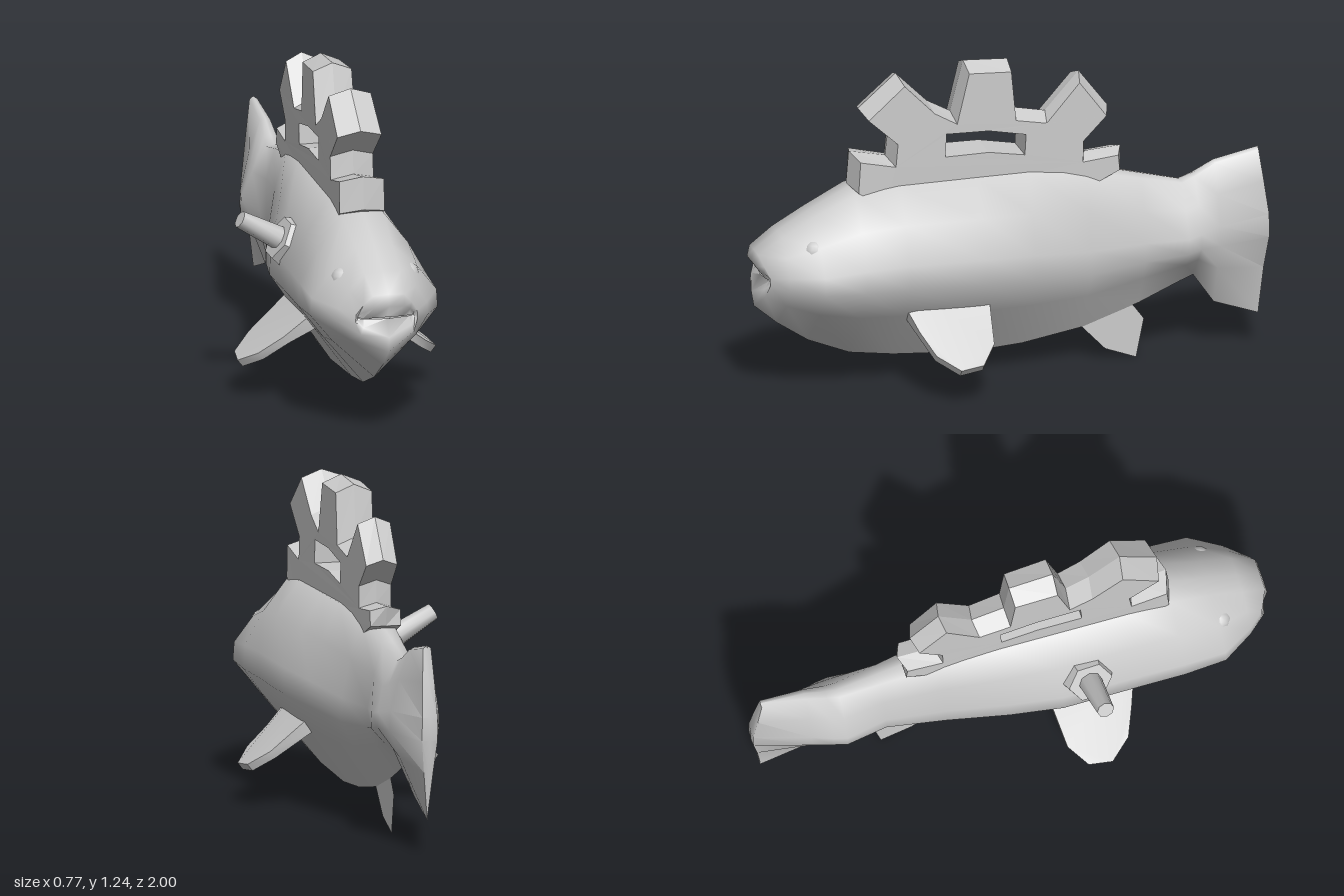
import * as THREE from 'three';
import { toCreasedNormals } from 'three/addons/utils/BufferGeometryUtils.js';

const CX = 0.013; // centre plane of the body
const mat = new THREE.MeshStandardMaterial({ color: 0xcccccc, side: THREE.DoubleSide });

function add(parent, name, geometry) {
  const mesh = new THREE.Mesh(geometry, mat);
  mesh.name = name;
  parent.add(mesh);
  return mesh;
}

const shapeOf = (pts) => new THREE.Shape(pts.map(([u, v]) => new THREE.Vector2(u, v)));

// Body sections from tail to mouth:
// z, top, bottom, top half width, mid half width, mid height, z shift at mid, fullness of the lower flank
const SECTIONS = [
  [-0.962, 0.79, 0.13, 0, 0, 0.47, -0.037, 0.6],
  [-0.96, 0.79, 0.13, 0.015, 0.03, 0.47, -0.037, 0.6],
  [-0.79, 0.755, 0.19, 0.02, 0.095, 0.47, 0, 0.6],
  [-0.71, 0.71, 0.305, 0.025, 0.12, 0.46, 0, 0.6],
  [-0.66, 0.69, 0.285, 0.03, 0.13, 0.45, 0, 0.6],
  [-0.5, 0.73, 0.215, 0.04, 0.1, 0.43, 0, 0.6],
  [-0.28, 0.785, 0.14, 0.058, 0.135, 0.42, 0, 0.6],
  [-0.05, 0.81, 0.1, 0.075, 0.195, 0.45, 0, 0.6],
  [0.15, 0.81, 0.086, 0.08, 0.235, 0.47, 0, 0.6],
  [0.45, 0.81, 0.106, 0.085, 0.245, 0.48, 0, 0.6],
  [0.62, 0.79, 0.13, 0.08, 0.25, 0.48, 0, 0.62],
  [0.78, 0.71, 0.195, 0.07, 0.245, 0.48, 0, 0.66],
  [0.9, 0.64, 0.275, 0.07, 0.175, 0.48, 0, 0.74],
  [0.99, 0.575, 0.352, 0.06, 0.12, 0.48, -0.03, 0.85],
  [1.0, 0.53, 0.41, 0.06, 0.11, 0.48, -0.05, 0.85],
  [0.965, 0.48, 0.474, 0.06, 0.11, 0.478, -0.02, 0.8],
];

function bodyGeometry() {
  const pos = [], index = [];
  for (const [z, top, bot, wt, wm, ym, dz, full] of SECTIONS) {
    const up = top - ym, down = ym - bot;
    const half = [
      [0, top, 0],
      [wt, top - up * 0.03, 0],
      [wt + (wm - wt) * 0.55, ym + up * 0.58, 0.5],
      [wm * 0.98, ym + up * 0.17, 1],
      [wm, ym - down * 0.1, 1],
      [wm * full, ym - down * 0.46, 0.5],
      [0, bot, 0],
    ];
    const mirrored = half.slice(1, -1).reverse().map(([x, y, k]) => [-x, y, k]);
    for (const [x, y, k] of [...half, ...mirrored]) pos.push(x + CX, y, z + dz * k);
  }
  const n = 12;
  for (let i = 0; i < SECTIONS.length - 1; i++) {
    for (let j = 0; j < n; j++) {
      const a = i * n + j, b = i * n + (j + 1) % n, c = a + n, d = b + n;
      index.push(a, c, b, b, c, d);
    }
  }
  const g = new THREE.BufferGeometry();
  g.setAttribute('position', new THREE.Float32BufferAttribute(pos, 3));
  g.setIndex(index);
  return toCreasedNormals(g, 1.2);
}

// Gear-toothed back fin with a slot, a raised centre ridge and a taper to the rear
function gearFinGeometry() {
  const shape = shapeOf([
    [0.5, 0.72], [0.63, 0.8], [0.62, 0.925], [0.48, 0.895], [0.47, 0.985], [0.585, 1.09],
    [0.44, 1.215], [0.32, 1.095], [0.23, 1.045], [0.18, 1.24], [0.01, 1.23], [-0.01, 1.035],
    [-0.135, 1.01], [-0.265, 1.155], [-0.375, 1.01], [-0.285, 0.92], [-0.285, 0.835],
    [-0.425, 0.845], [-0.41, 0.77], [-0.3, 0.72],
  ]);
  shape.holes.push(new THREE.Path([[0.265, 0.985], [0.1, 0.98], [-0.045, 0.95], [-0.04, 0.87],
    [0.1, 0.895], [0.27, 0.895]].map(([u, v]) => new THREE.Vector2(u, v))));
  const g = new THREE.ExtrudeGeometry(shape, { depth: 2, steps: 2, bevelEnabled: false });
  g.translate(0, 0, -1).rotateY(-Math.PI / 2);
  const p = g.attributes.position;
  for (let i = 0; i < p.count; i++) {
    const x = p.getX(i), y = p.getY(i), z = p.getZ(i);
    const inSlot = z > -0.06 && z < 0.28 && y < 0.99;
    const r = Math.hypot(y - 0.45, z - 0.08);
    const push = inSlot || y < 0.78 ? 0 : (Math.abs(x) < 0.5 ? 0.004 : -0.026) / r;
    p.setXYZ(i, CX + x * (0.07 + 0.026 * z), y + (y - 0.45) * push, z + (z - 0.08) * push);
  }
  g.computeVertexNormals();
  return g;
}

// Side fin slanting outwards and down, thicker at the root; outline is z against distance along the fin
function sideFinGeometry(side) {
  const shape = shapeOf([[0.46, -0.08], [0.44, 0.06], [0.41, 0.16], [0.37, 0.27], [0.29, 0.345],
    [0.2, 0.33], [0.14, 0.24], [0.12, 0.06], [0.1, -0.08]]);
  const g = new THREE.ExtrudeGeometry(shape, { depth: 1, bevelEnabled: false });
  g.translate(0, 0, -0.5);
  const p = g.attributes.position;
  for (let i = 0; i < p.count; i++) {
    p.setZ(i, p.getZ(i) * (0.032 + 0.2 * Math.max(0, 0.16 - p.getY(i))));
  }
  const along = new THREE.Vector3(0, 0, 1);
  const out = new THREE.Vector3(side * 0.79, -0.613, 0).normalize();
  const m = new THREE.Matrix4().makeBasis(along, out, along.clone().cross(out));
  m.setPosition(side * 0.1, 0.35, 0);
  return toCreasedNormals(g.applyMatrix4(m), 0.7);
}

export function createModel() {
  const model = new THREE.Group();
  model.name = 'mechanicalFish';

  add(model, 'body', bodyGeometry());
  add(model, 'gearBackFin', gearFinGeometry());

  for (const side of [1, -1]) {
    const label = side > 0 ? 'left' : 'right';
    add(model, label + 'SideFin', sideFinGeometry(side));
    // Low eye bump, mostly sunk into the head
    const eye = add(model, label + 'Eye', new THREE.SphereGeometry(0.045, 12, 8));
    eye.position.set(CX + side * 0.125, 0.59, 0.79);
  }

  // Thin belly fin on the centre plane
  const belly = new THREE.ShapeGeometry(shapeOf([[-0.26, 0.17], [-0.28, 0.14], [-0.37, 0.045],
    [-0.49, 0], [-0.52, 0.15], [-0.48, 0.205], [-0.4, 0.24]]));
  add(model, 'bellyFin', belly.rotateY(-Math.PI / 2).translate(CX, 0, 0));

  // Wind-up bolt: hex nut and rod on the right flank
  const bolt = new THREE.Group();
  bolt.name = 'bolt';
  bolt.position.set(-0.195, 0.593, 0.255);
  bolt.quaternion.setFromUnitVectors(new THREE.Vector3(0, 1, 0),
    new THREE.Vector3(-0.87, 0.49, 0.06).normalize());
  add(bolt, 'boltNut', toCreasedNormals(new THREE.CylinderGeometry(0.085, 0.1, 0.05, 6), 0.5));
  const rod = add(bolt, 'boltRod', toCreasedNormals(new THREE.CylinderGeometry(0.033, 0.052, 0.28, 8), 1));
  rod.position.y = 0.058;
  model.add(bolt);

  return model;
}
